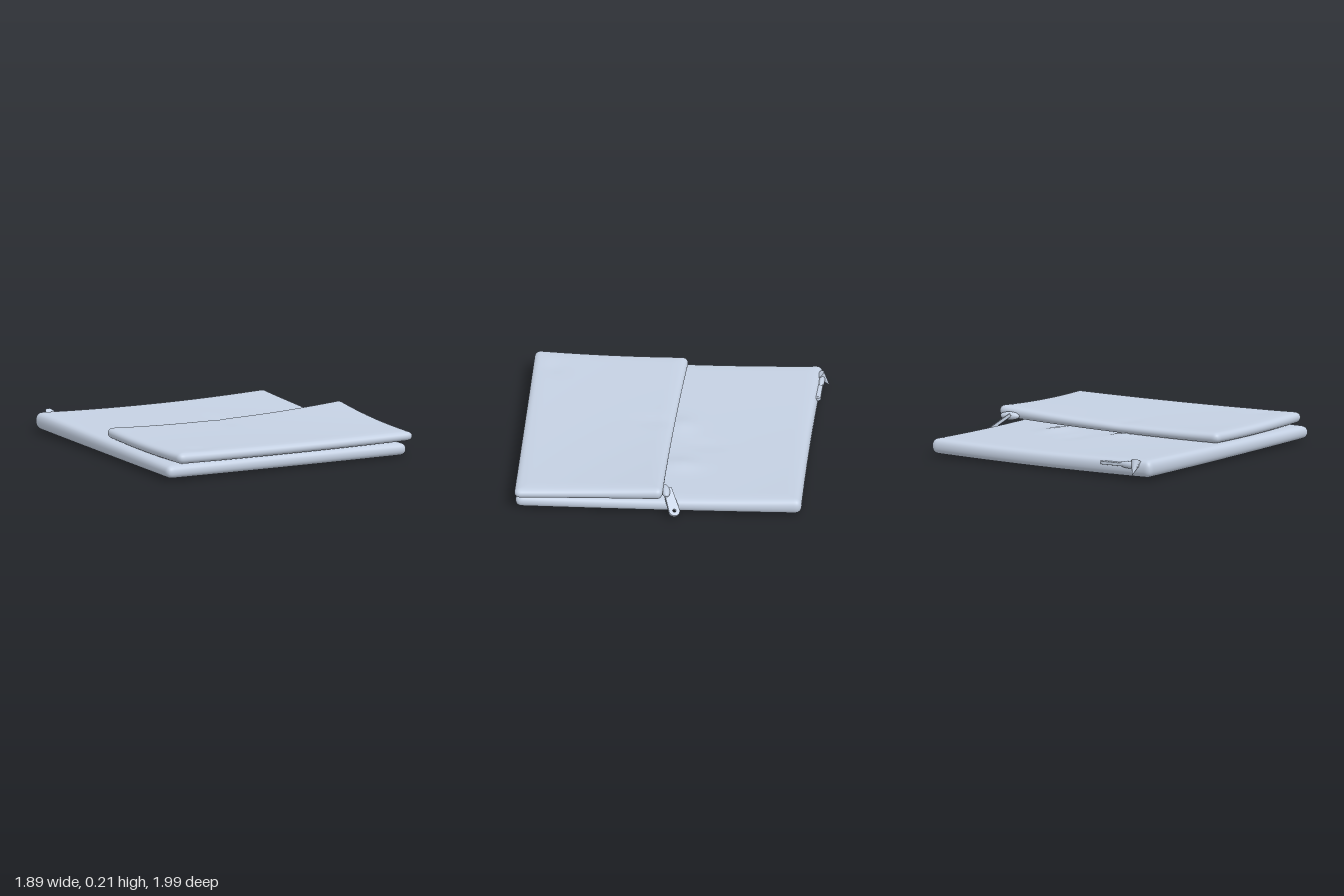
import * as THREE from 'three';
import { mergeVertices } from 'three/addons/utils/BufferGeometryUtils.js';

const fabric = new THREE.MeshStandardMaterial({ color: 0xc4d0e2 });
fabric.name = 'pale blue grey';

const V = (x, y, z) => new THREE.Vector3(x, y, z);
const mix = (c, s, t) => // corners: back left, back right, front left, front right
  (c[0] * (1 - s) + c[1] * s) * (1 - t) + (c[2] * (1 - s) + c[3] * s) * t;
const curve3 = ([a, b, c], t) => // smooth curve through start, middle and end
  a * (1 - t) * (1 - 2 * t) + b * 4 * t * (1 - t) + c * t * (2 * t - 1);
const sheet = (rows, s, t) => curve3(rows.map((row) => curve3(row, s)), t);
const bump = (x, z, [cx, cz, wx, wz, h]) =>
  h * Math.exp(-(((x - cx) / wx) ** 2) - ((z - cz) / wz) ** 2);

function mesh(name, geometry) {
  const m = new THREE.Mesh(geometry, fabric);
  m.name = name;
  return m;
}

// Soft padded panel: a rounded slab filling the space between two curved sheets
function pouch(name, p) {
  let g = new THREE.BoxGeometry(2, 2, 2, 64, 10, 64);
  g.deleteAttribute('normal');
  g.deleteAttribute('uv');
  g = mergeVertices(g);
  const a = g.attributes.position;
  const spread = (t) => Math.sin((t * Math.PI) / 2); // finer cells near the edges
  const hx = 0.89, hy = 0.046, hz = p.halfDepth, r = 0.044;
  const q = V(), core = V();
  for (let i = 0; i < a.count; i++) {
    q.set(spread(a.getX(i)) * hx, spread(a.getY(i)) * hy, spread(a.getZ(i)) * hz);
    core.set(
      THREE.MathUtils.clamp(q.x, -hx + r, hx - r),
      THREE.MathUtils.clamp(q.y, -hy + r, hy - r),
      THREE.MathUtils.clamp(q.z, -hz + r, hz - r));
    const d = q.clone().sub(core);
    if (d.length() > 1e-6) q.copy(core).add(d.setLength(r));
    const s = (q.x / hx + 1) / 2, t = (q.z / hz + 1) / 2, h = (q.y / hy + 1) / 2;
    const sideBow = 4 * t * (1 - t), endBow = 4 * s * (1 - s);
    const x = mix(p.x, s, t) + sideBow * (p.bowLeft * (1 - s) + p.bowRight * s);
    const z = mix(p.z, s, t) + endBow * (p.bowBack * (1 - t) + p.bowFront * t);
    const low = sheet(p.low, s, t);
    let high = sheet(p.high, s, t);
    for (const b of p.creases) high += bump(x, z, b);
    // the upper face slopes gently down to its rim
    const rim = Math.min(hx - Math.abs(q.x), hz - Math.abs(q.z));
    high -= 0.005 * (1 - THREE.MathUtils.smoothstep(rim, 0, 0.1));
    a.setXYZ(i, x, low + (high - low) * h, z);
  }
  g.computeVertexNormals();
  return mesh(name, g);
}

// Flat zip tab with an eyelet at the far end
function zipTab(name, from, to, width) {
  const dir = to.clone().sub(from), L = dir.length(), w = width / 2;
  dir.normalize();
  const side = V(0, 1, 0).cross(dir).normalize();
  const s = new THREE.Shape();
  s.moveTo(0, -w * 0.75);
  s.lineTo(L - w, -w);
  s.absarc(L - w, 0, w, -Math.PI / 2, Math.PI / 2, false);
  s.lineTo(0, w * 0.75);
  s.closePath();
  const eyelet = new THREE.Path();
  eyelet.absarc(L - w, 0, w * 0.42, 0, Math.PI * 2, true);
  s.holes.push(eyelet);
  const g = new THREE.ExtrudeGeometry(s, {
    depth: 0.014, bevelEnabled: true, bevelSize: 0.004, bevelThickness: 0.004, bevelSegments: 2, curveSegments: 10,
  });
  g.translate(0, 0, -0.007);
  g.applyMatrix4(new THREE.Matrix4().makeBasis(dir, side, dir.clone().cross(side)).setPosition(from));
  return mesh(name, g);
}

// Rounded slider body
function slider(name, pos, size, yaw = 0) {
  const m = mesh(name, new THREE.SphereGeometry(1, 16, 10));
  m.position.copy(pos);
  m.scale.copy(size);
  m.rotation.y = yaw;
  return m;
}

export function createModel() {
  const model = new THREE.Group();
  model.name = 'foldedPouches';

  // Large pouch lying flat; height rows run back, middle, front
  model.add(pouch('lowerPouch', {
    halfDepth: 0.95,
    x: [-0.945, 0.825, -0.945, 0.888], z: [-0.943, -0.963, 0.973, 0.963],
    bowLeft: 0.024, bowRight: -0.004, bowBack: 0.012, bowFront: -0.004,
    low: [[0.022, 0.008, 0.02], [0.008, 0, 0.006], [0.018, 0.008, 0.005]],
    high: [[0.143, 0.118, 0.13], [0.115, 0.1, 0.095], [0.108, 0.103, 0.093]],
    creases: [
      [-0.12, -0.06, 0.09, 0.09, 0.018], [0.38, -0.1, 0.08, 0.13, 0.018],
      [0.12, -0.25, 0.06, 0.14, -0.006],
    ],
  }));

  // Smaller pouch resting on the front half
  model.add(pouch('upperPouch', {
    halfDepth: 0.51,
    x: [-0.88, 0.91, -0.87, 0.936], z: [-0.04, -0.033, 0.996, 0.965],
    bowLeft: -0.002, bowRight: -0.014, bowBack: 0.014, bowFront: 0,
    low: [[0.118, 0.108, 0.128], [0.108, 0.095, 0.108], [0.115, 0.102, 0.1]],
    high: [[0.195, 0.175, 0.216], [0.182, 0.167, 0.182], [0.194, 0.173, 0.168]],
    creases: [[-0.05, 0.1, 0.06, 0.14, -0.005], [-0.65, 0.85, 0.08, 0.08, -0.005]],
  }));

  // Right hand slider with hanging tab
  model.add(slider('upperSlider', V(0.8, 0.145, -0.045), V(0.07, 0.028, 0.03), 0.2));
  model.add(zipTab('upperZipTab', V(0.79, 0.155, -0.055), V(0.935, 0.035, -0.125), 0.07));

  // Rear left slider, tab and loose zip end
  model.add(zipTab('lowerZipTab', V(-0.82, 0.1, -0.942), V(-0.55, 0.095, -0.938), 0.035));
  model.add(slider('lowerSlider', V(-0.78, 0.1, -0.945), V(0.08, 0.024, 0.02)));
  const end = mesh('looseZipEnd', new THREE.ConeGeometry(0.035, 0.11, 12));
  end.position.set(-0.83, 0.082, -0.96);
  end.quaternion.setFromUnitVectors(V(0, 1, 0), V(-0.1, -0.8, -0.6).normalize());
  model.add(end);

  return model;
}
